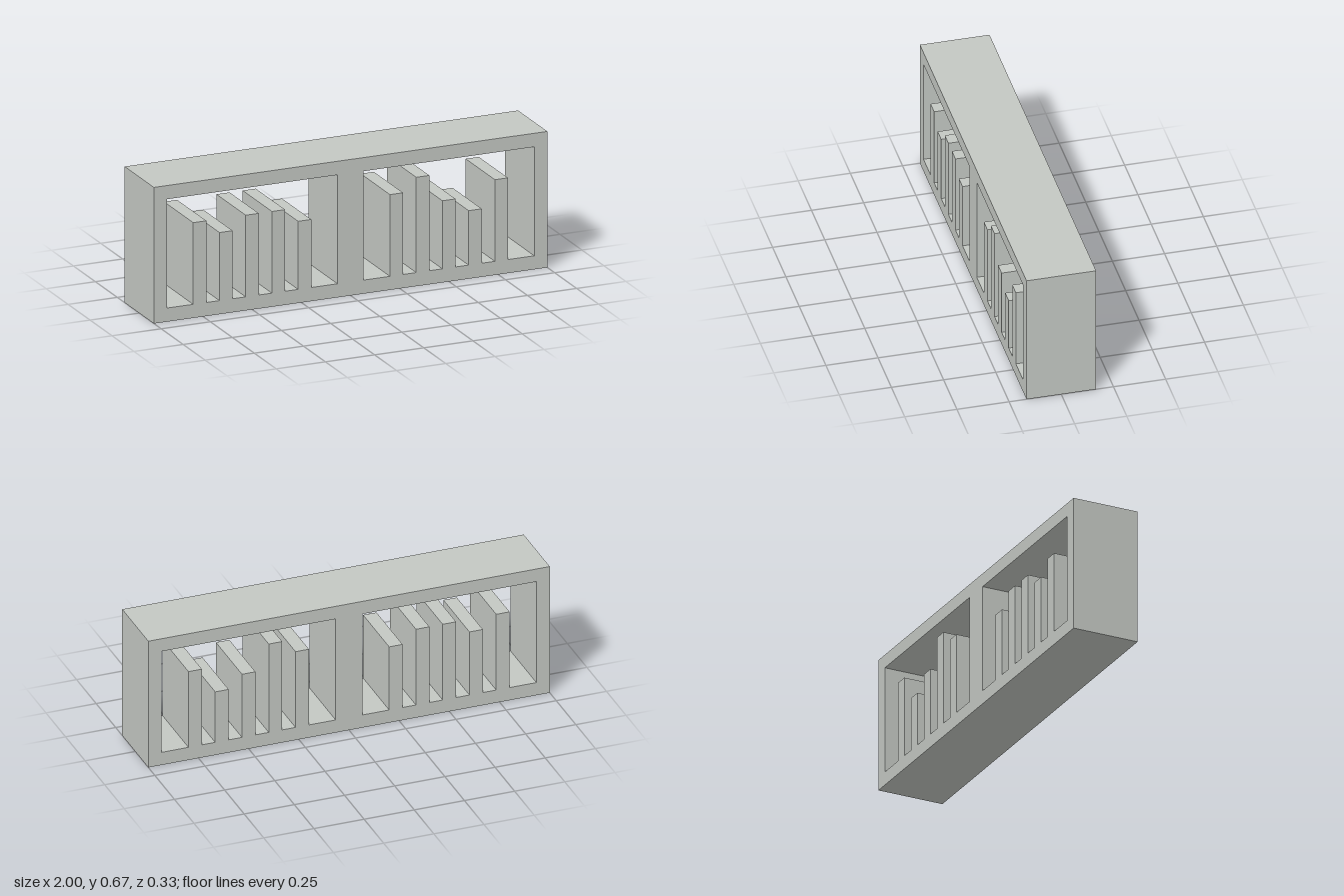
import * as THREE from 'three';

const U = 1 / 15; // one module: the board thickness
const DEPTH = 5 * U;

const stone = new THREE.MeshStandardMaterial({ color: 0xc4c8c3 });
stone.name = 'paleGrey';

// Closed rectangle points from corner to corner, in modules
function rect(x0, y0, x1, y1) {
  return [[x0, y0], [x1, y0], [x1, y1], [x0, y1]].map(([x, y]) => new THREE.Vector2(x * U, y * U));
}

export function createModel() {
  const group = new THREE.Group();
  group.name = 'bookshelf';

  // Outer frame with two open bays either side of a thick divider
  const outline = new THREE.Shape(rect(-15, 0, 15, 10));
  outline.holes.push(new THREE.Path(rect(-14, 1, -1, 9).reverse()));
  outline.holes.push(new THREE.Path(rect(1, 1, 14, 9).reverse()));
  const frameGeometry = new THREE.ExtrudeGeometry(outline, { depth: DEPTH, bevelEnabled: false });
  frameGeometry.translate(0, 0, -DEPTH / 2);
  const frame = new THREE.Mesh(frameGeometry, stone);
  frame.name = 'frame';
  group.add(frame);

  // Upright books: left edge of each row, then the height of each top
  const rows = [
    { name: 'rightBooks', start: -12, tops: [7, 6, 7, 7, 6] },
    { name: 'leftBooks', start: 3, tops: [7, 8, 6, 5, 7] },
  ];
  for (const { name, start, tops } of rows) {
    const row = new THREE.Group();
    row.name = name;
    tops.forEach((top, i) => {
      const height = (top - 1) * U;
      const book = new THREE.Mesh(new THREE.BoxGeometry(U, height, DEPTH), stone);
      book.name = `book${i + 1}`;
      book.position.set((start + 2 * i + 0.5) * U, U + height / 2, 0);
      row.add(book);
    });
    group.add(row);
  }

  return group;
}
